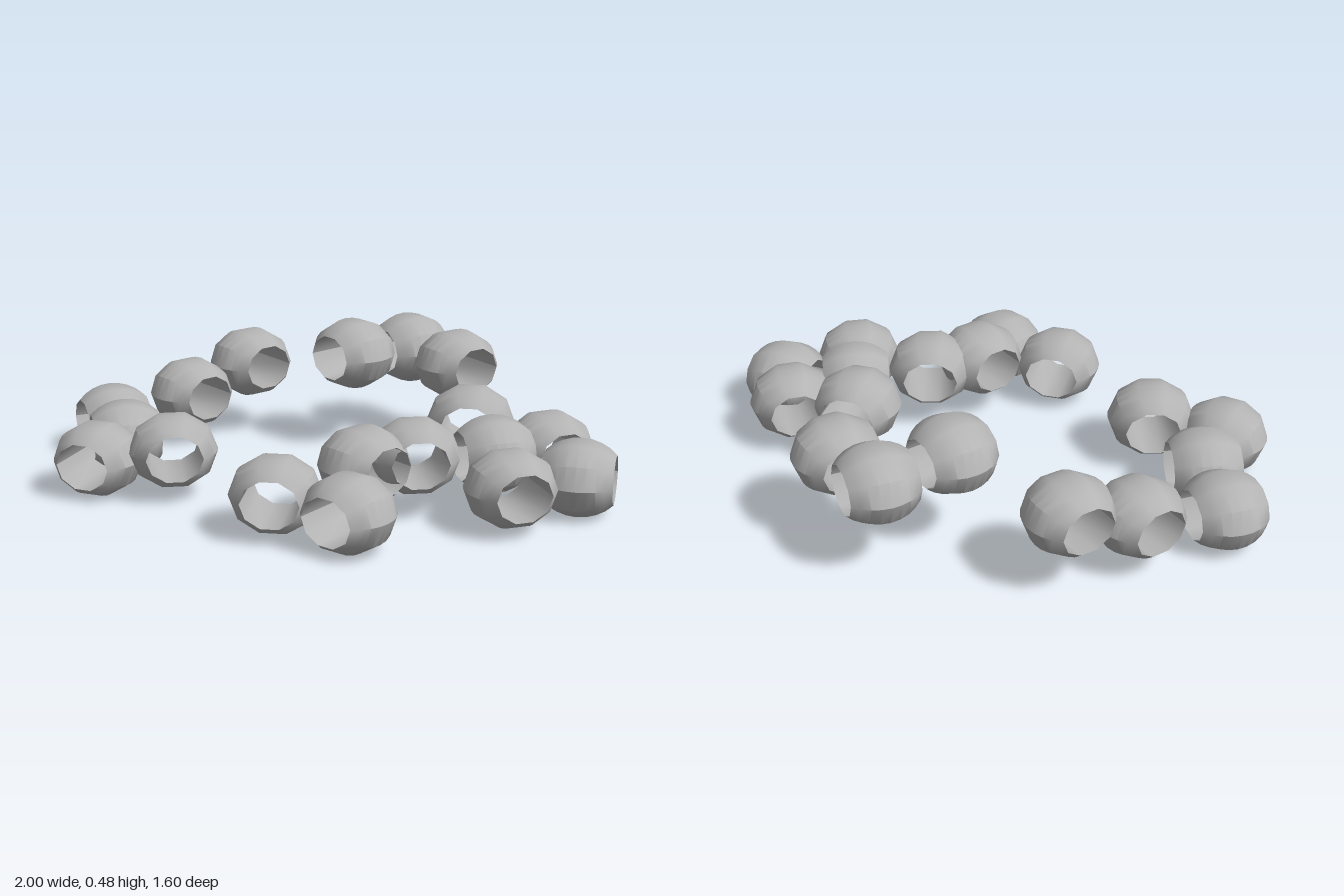
import * as THREE from 'three';
import { toCreasedNormals } from 'three/addons/utils/BufferGeometryUtils.js';

const R = 0.155;        // widest radius of a bead
const HALF = 0.12;      // half length along the hole
const SQUASH = 0.85;    // beads are a little flattened

// Ten-sided barrel: a sphere band with a straight hole through it
function beadGeometry() {
  const points = [];
  const end = Math.asin(HALF / R);
  const steps = 8;
  for (let i = 0; i <= steps; i++) {
    const a = -end + (2 * end * i) / steps;
    points.push(new THREE.Vector2(R * Math.cos(a), R * Math.sin(a)));
  }
  points.push(points[0].clone()); // wall of the hole
  const g = new THREE.LatheGeometry(points, 10, Math.PI / 2);
  g.rotateX(Math.PI / 2);
  g.scale(1, SQUASH, 1);
  return toCreasedNormals(g, 0.66);
}

// Each bead: centre x, y, z, then hole direction x, z
const clusters = {
  leftBackCluster: [
    [0.035, 0.355, -0.45, 0.68, -0.73],
    [0.235, 0.335, -0.64, 0.8, -0.6],
    [0.42, 0.315, -0.485, 0.66, 0.75],
  ],
  leftCluster: [
    [0.49, 0.23, -0.045, -0.05, 1],
    [0.765, 0.165, 0.025, 0.48, 0.87],
    [0.575, 0.19, 0.19, 0.93, -0.35],
    [0.865, 0.13, 0.23, 0.99, 0.14],
    [0.635, 0.15, 0.415, 0.41, 0.91],
  ],
  frontCluster: [
    [0.315, 0.21, 0.295, 0.24, 0.97],
    [0.155, 0.21, 0.405, 0.75, 0.66],
    [-0.12, 0.145, 0.54, -0.03, 1],
    [0.13, 0.13, 0.65, -0.53, 0.85],
  ],
  rightCluster: [
    [-0.38, 0.275, -0.58, 0.7, 0.7],
    [-0.585, 0.19, -0.425, 0.73, 0.68],
    [-0.845, 0.13, -0.24, 0.86, -0.52],
    [-0.745, 0.14, -0.01, 0.94, -0.34],
    [-0.79, 0.13, 0.21, -0.25, 0.97],
    [-0.525, 0.17, 0.21, 0.25, 0.97],
  ],
};

export function createModel() {
  const model = new THREE.Group();
  model.name = 'beads';
  const grey = new THREE.MeshStandardMaterial({ color: 0xb4b4b4 });
  grey.name = 'grey';
  grey.side = THREE.DoubleSide;
  const geometry = beadGeometry();

  for (const [name, beads] of Object.entries(clusters)) {
    const group = new THREE.Group();
    group.name = name;
    for (const [x, y, z, ax, az] of beads) {
      const bead = new THREE.Mesh(geometry, grey);
      bead.name = 'bead';
      bead.position.set(x, y, z);
      bead.rotation.y = Math.atan2(ax, az);
      group.add(bead);
    }
    model.add(group);
  }
  return model;
}
